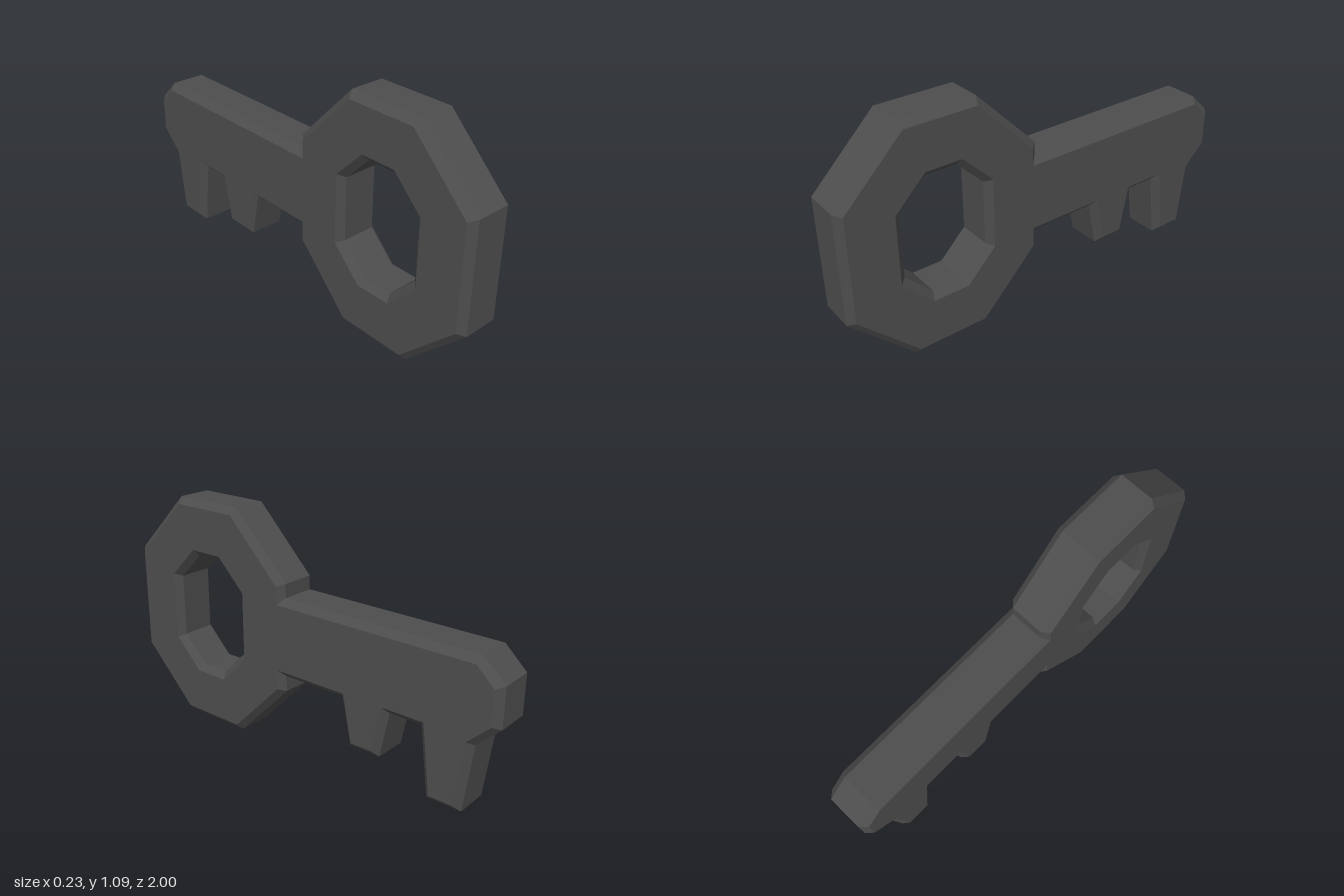
import * as THREE from 'three';

const toPoints = (pairs) => pairs.map(([u, y]) => new THREE.Vector2(u, y));

export function createModel() {
  const model = new THREE.Group();
  model.name = 'key';

  // Side silhouette: u runs from the bow (-1) to the tip (+1)
  const outline = new THREE.Shape(toPoints([
    // bow, lower half
    [-0.07, 0.365], [-0.07, 0.29], [-0.355, 0], [-0.71, 0], [-1, 0.29],
    // bow, upper half
    [-1, 0.80], [-0.71, 1.09], [-0.355, 1.09], [-0.07, 0.80], [-0.07, 0.735],
    // shaft top and chamfered tip
    [0.90, 0.735], [1, 0.64], [1, 0.46], [0.895, 0.36],
    // long tooth
    [0.855, 0.045], [0.69, 0.045], [0.65, 0.365],
    // short tooth
    [0.495, 0.365], [0.45, 0.145], [0.295, 0.145], [0.25, 0.365],
  ]));

  // Octagonal finger hole
  outline.holes.push(new THREE.Path(toPoints([
    [-0.73, 0.70], [-0.73, 0.40], [-0.605, 0.275], [-0.46, 0.275],
    [-0.335, 0.40], [-0.335, 0.70], [-0.46, 0.825], [-0.605, 0.825],
  ])));

  // Thick plate with chamfered edges that cut inwards from the silhouette
  const depth = 0.16;
  const geometry = new THREE.ExtrudeGeometry(outline, {
    depth,
    bevelEnabled: true,
    bevelSegments: 1,
    bevelThickness: 0.03,
    bevelSize: 0.03,
    bevelOffset: -0.03,
  });
  geometry.translate(0, 0, -depth / 2);
  // Bow to the front (+z), with a very slight yaw
  geometry.rotateY(Math.PI / 2 + 0.0055);

  const material = new THREE.MeshStandardMaterial({ color: 0x4d4d4d, flatShading: true });
  const body = new THREE.Mesh(geometry, material);
  body.name = 'keyBody';
  model.add(body);
  return model;
}
